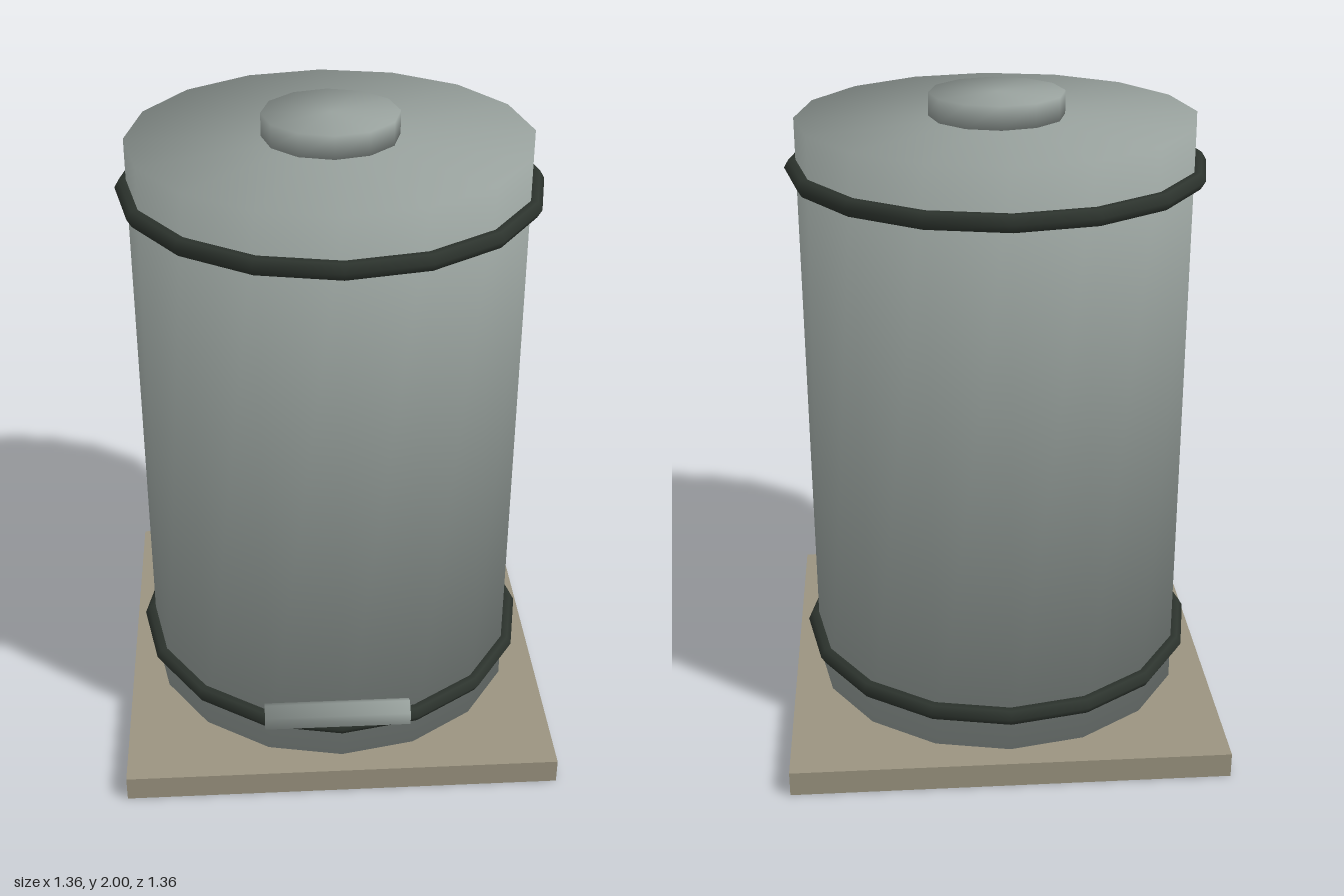
import * as THREE from 'three';

// Cylinder whose rims blend softly from side to cap (normals tilt 45 degrees at the rims).
function softCylinder(radius, height, sides) {
  const geo = new THREE.CylinderGeometry(radius, radius, height, sides);
  const pos = geo.attributes.position;
  const nor = geo.attributes.normal;
  for (let i = 0; i < pos.count; i++) {
    nor.setXYZ(i, pos.getX(i) / radius, Math.sign(pos.getY(i)), pos.getZ(i) / radius);
  }
  return geo;
}

export function createModel() {
  const group = new THREE.Group();
  const metal = new THREE.MeshStandardMaterial({ name: 'greyMetal', color: 0x98a19d });
  const band = new THREE.MeshStandardMaterial({ name: 'darkBand', color: 0x2d342e });
  const stone = new THREE.MeshStandardMaterial({ name: 'stone', color: 0x9b9480 });

  const add = (name, geo, material, x, y, z) => {
    const mesh = new THREE.Mesh(geo, material);
    mesh.name = name;
    mesh.position.set(x, y, z);
    group.add(mesh);
    return mesh;
  };

  // Square base slab
  add('baseSlab', new THREE.BoxGeometry(1.36, 0.08, 1.36), stone, 0, 0.04, 0);

  // Tank body and the cap on its top
  add('tankBody', softCylinder(0.605, 1.85, 16), metal, 0, 1.005, 0);
  add('topCap', softCylinder(0.205, 0.07, 12), metal, 0, 1.965, 0);

  // Two hoops round the tank
  for (const [name, y] of [['lowerHoop', 0.21], ['upperHoop', 1.78]]) {
    const hoop = new THREE.TorusGeometry(0.612, 0.028, 6, 16).rotateX(Math.PI / 2);
    add(name, hoop, band, 0, y, 0);
  }

  // Short six-sided pipe across the front
  const pipe = softCylinder(0.042, 0.45, 6).rotateY(Math.PI / 6).rotateZ(Math.PI / 2);
  add('frontPipe', pipe, metal, -0.017, 0.278, 0.638);

  return group;
}
